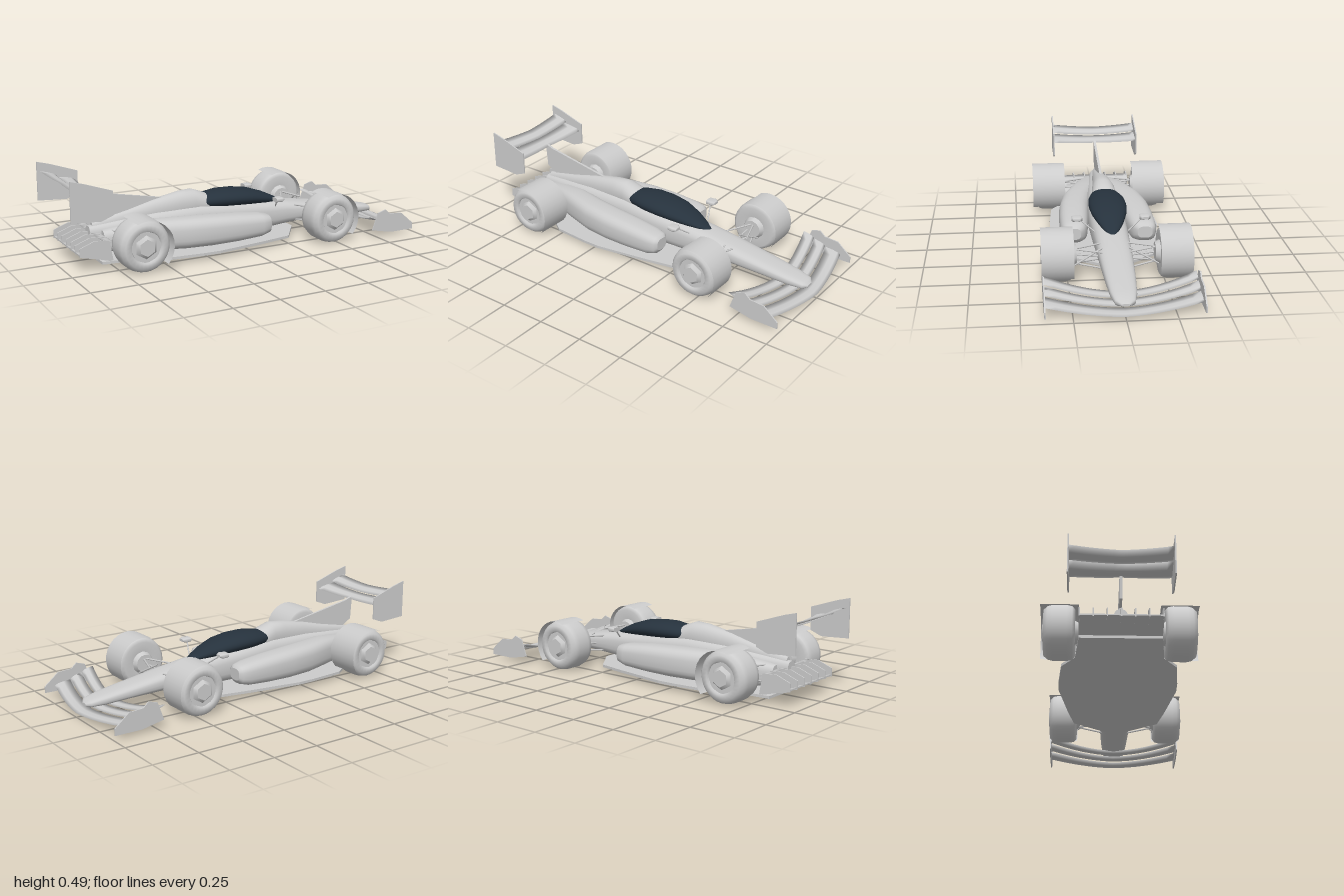
import * as THREE from 'three';

const grey = new THREE.MeshStandardMaterial({ color: 0xcccccc, side: THREE.DoubleSide });
grey.name = 'paleGrey';
const dark = new THREE.MeshStandardMaterial({ color: 0x26323d });
dark.name = 'darkGlass';

// Skin over a row of closed rings of points, with flat end caps
function skin(rings) {
  const n = rings[0].length, pos = [], idx = [];
  rings.forEach(r => r.forEach(p => pos.push(...p)));
  for (let i = 0; i < rings.length - 1; i++) {
    for (let j = 0; j < n; j++) {
      const a = i * n + j, b = i * n + (j + 1) % n;
      idx.push(a, b, a + n, b, b + n, a + n);
    }
  }
  [rings[0], rings[rings.length - 1]].forEach((r, e) => {
    const s = pos.length / 3;
    r.forEach(p => pos.push(...p));
    for (let j = 1; j < n - 1; j++) idx.push(s, s + (e ? j : j + 1), s + (e ? j + 1 : j));
  });
  // make the faces point outwards
  let vol = 0;
  const v = k => new THREE.Vector3().fromArray(pos, k * 3);
  for (let i = 0; i < idx.length; i += 3) vol += v(idx[i]).dot(v(idx[i + 1]).cross(v(idx[i + 2])));
  if (vol < 0) idx.reverse();
  const g = new THREE.BufferGeometry();
  g.setAttribute('position', new THREE.Float32BufferAttribute(pos, 3));
  g.setIndex(idx);
  g.computeVertexNormals();
  return g;
}

// Rounded hull along x; stations are [x, bottom, top, halfWidth, centreZ]
function hull(stations, power = 0.7, n = 28) {
  const round = c => Math.sign(c) * Math.abs(c) ** power;
  return skin(stations.map(([x, y0, y1, w, zc = 0]) => Array.from({ length: n }, (_, j) => {
    const a = j / n * Math.PI * 2;
    return [x, (y0 + y1) / 2 + round(Math.sin(a)) * (y1 - y0) / 2, zc + round(Math.cos(a)) * w];
  })));
}

// Thin wing element across z; edge(t) gives [leadX, leadY, trailX, trailY]
function wing(half, thick, edge) {
  const rings = [];
  for (let k = -8; k <= 8; k++) {
    const t = Math.abs(k) / 8, [x0, y0, x1, y1] = edge(t);
    const at = (u, h) => [x0 + (x1 - x0) * u, y0 + (y1 - y0) * u + h * thick, k / 8 * half];
    rings.push([at(0, 0), at(0.2, 0.5), at(0.55, 0.4), at(1, 0), at(0.55, -0.4), at(0.2, -0.5)]);
  }
  return skin(rings);
}

// Flat plate drawn in x and y, centred on z
function plate(points, z, thick) {
  const s = new THREE.Shape(points.map(p => new THREE.Vector2(...p)));
  return new THREE.ExtrudeGeometry(s, { depth: thick, bevelEnabled: false }).translate(0, 0, z - thick / 2);
}

function rod(a, b, r) {
  const line = new THREE.LineCurve3(new THREE.Vector3(...a), new THREE.Vector3(...b));
  return new THREE.TubeGeometry(line, 1, r, 6);
}

export function createModel() {
  const car = new THREE.Group();
  car.name = 'racingCar';
  const add = (name, geo, mat = grey, parent = car) => {
    const m = new THREE.Mesh(geo, mat);
    m.name = name;
    parent.add(m);
    return m;
  };

  // Chassis, nose, engine cover and canopy
  add('chassis', hull([
    [0.955, 0.055, 0.068, 0.02], [0.935, 0.048, 0.085, 0.05], [0.86, 0.048, 0.102, 0.066],
    [0.72, 0.055, 0.125, 0.077], [0.5, 0.06, 0.16, 0.088], [0.34, 0.05, 0.185, 0.092],
    [0.2, 0.038, 0.2, 0.097], [0, 0.035, 0.22, 0.102], [-0.2, 0.035, 0.235, 0.098],
    [-0.45, 0.035, 0.22, 0.08], [-0.65, 0.04, 0.2, 0.06], [-0.82, 0.07, 0.18, 0.035]]));
  add('engineCover', hull([
    [-0.06, 0.17, 0.24, 0.06], [-0.15, 0.16, 0.285, 0.07], [-0.22, 0.16, 0.31, 0.066],
    [-0.3, 0.15, 0.305, 0.058], [-0.45, 0.14, 0.278, 0.045], [-0.6, 0.13, 0.24, 0.035],
    [-0.8, 0.1, 0.2, 0.02]], 0.9));
  add('canopy', hull([
    [-0.225, 0.222, 0.24, 0.012], [-0.2, 0.21, 0.262, 0.045], [-0.14, 0.2, 0.28, 0.08],
    [-0.05, 0.193, 0.291, 0.1], [0.04, 0.19, 0.288, 0.104], [0.13, 0.186, 0.275, 0.095],
    [0.22, 0.18, 0.245, 0.07], [0.29, 0.177, 0.212, 0.042], [0.34, 0.177, 0.185, 0.01]], 0.95), dark);
  add('spineFin', plate([[-0.4, 0.285], [-0.78, 0.355], [-0.83, 0.375], [-0.82, 0.24],
    [-0.7, 0.17], [-0.42, 0.2]], 0, 0.014));

  // Floor
  const side = [[0.38, 0.07], [0.26, 0.235], [0.1, 0.265], [-0.2, 0.31], [-0.3, 0.308], [-0.5, 0.29],
    [-0.6, 0.22], [-0.82, 0.2]];
  const outline = side.concat(side.map(([x, z]) => [x, -z]).reverse());
  add('floor', plate(outline, 0, 0.014).rotateX(Math.PI / 2).translate(0, 0.033, 0));

  // Front wing: three swept elements
  const fx = [0, 0.095, 0.165, 0.235], fy = [0.022, 0.032, 0.046, 0.058], lift = [0.03, 0.042, 0.055, 0.066];
  for (let i = 0; i < 3; i++) {
    add('frontWingElement', wing(0.382, 0.011, t => {
      const lead = 1 - 0.068 * t ** 1.4;
      return [lead - fx[i], fy[i] + lift[i] * t * t, lead - fx[i + 1] + 0.005, fy[i + 1] + lift[i + 1] * t * t - 0.004];
    }));
  }

  // Rear wing: main plane and steeper flap
  add('rearWingMain', wing(0.255, 0.014, t => [-0.81 + 0.02 * t, 0.362 + 0.012 * t * t, -0.9 - 0.01 * t, 0.385 + 0.014 * t * t]));
  add('rearWingFlap', wing(0.255, 0.011, t => [-0.885 - 0.01 * t, 0.394 + 0.014 * t * t, -0.962 - 0.022 * t, 0.425 + 0.014 * t * t]));

  // Diffuser ramp, beams and upright strakes
  const ramp = [[-0.76, 0.035], [-0.94, 0.085], [-0.94, 0.092], [-0.76, 0.045]];
  add('diffuserRamp', plate(ramp, 0, 0.4));
  add('lowerBeam', wing(0.2, 0.01, t => [-0.77, 0.1, -0.87, 0.125]));
  add('upperBeam', wing(0.2, 0.01, t => [-0.75, 0.13, -0.82, 0.152]));
  for (let k = -3; k <= 3; k++) {
    add('diffuserStrake', plate([[-0.76, 0.04], [-0.94, 0.08], [-0.94, 0.125], [-0.86, 0.155],
      [-0.78, 0.15]], k * 0.066, 0.006));
  }

  for (const s of [1, -1]) {
    const label = s > 0 ? 'left' : 'right';
    // Side pod
    add(label + 'SidePod', hull([
      [0.155, 0.09, 0.155, 0.195 * s, 0], [0.14, 0.07, 0.17, 0.06], [0.09, 0.055, 0.18, 0.074],
      [-0.05, 0.045, 0.193, 0.082], [-0.2, 0.04, 0.2, 0.085], [-0.35, 0.038, 0.202, 0.085],
      [-0.5, 0.038, 0.198, 0.08], [-0.62, 0.04, 0.185, 0.065], [-0.76, 0.05, 0.16, 0.04]
    ].map((a, i) => [a[0], a[1], a[2], i ? a[3] : 0.04,
      s * [0.195, 0.194, 0.19, 0.182, 0.172, 0.15, 0.105, 0.075, 0.045][i]])));

    // Wing end plates
    add(label + 'FrontEndPlate', plate([[0.715, 0.045], [0.75, 0.14], [0.8, 0.155], [0.83, 0.128],
      [0.91, 0.122], [0.99, 0.055], [0.99, 0.02], [0.84, 0.02]], s * 0.384, 0.007));
    add(label + 'RearEndPlate', plate([[-1, 0.49], [-0.93, 0.472], [-0.775, 0.42], [-0.775, 0.295],
      [-0.84, 0.27], [-1, 0.28]], s * 0.255, 0.007));

    // Mirror and stalk
    add(label + 'Mirror', hull([[0.2, 0.226, 0.25, 0.026, s * 0.182], [0.235, 0.224, 0.252, 0.03, s * 0.182],
      [0.252, 0.231, 0.245, 0.018, s * 0.182]], 0.6));
    add(label + 'MirrorStalk', rod([0.26, 0.175, s * 0.09], [0.225, 0.232, s * 0.165], 0.004));

    // Wheels with part covers, hubs and suspension
    for (const front of [true, false]) {
      const cx = front ? 0.475 : -0.648, cz = s * (front ? 0.303 : 0.3);
      const wheel = new THREE.Group();
      wheel.name = label + (front ? 'Front' : 'Rear') + 'Wheel';
      wheel.position.set(cx, 0.138, cz);
      car.add(wheel);
      const profile = [[0.06, -0.075], [0.115, -0.08], [0.132, -0.066], [0.138, -0.04], [0.138, 0.03],
        [0.132, 0.055], [0.115, 0.075], [0.085, 0.078], [0.078, 0.06]].map(p => new THREE.Vector2(...p));
      const turn = g => g.rotateX(s * Math.PI / 2);
      add('tyre', turn(new THREE.LatheGeometry(profile, 28)), grey, wheel);
      add('rim', turn(new THREE.CylinderGeometry(0.084, 0.084, 0.13, 8)), grey, wheel);
      add('hubCap', turn(new THREE.CylinderGeometry(0.045, 0.064, 0.02, 6).translate(0, 0.073, 0)), grey, wheel);
      add('brakeDuct', turn(new THREE.CylinderGeometry(0.065, 0.05, 0.03, 12).translate(0, -0.085, 0)), grey, wheel);
      const width = front ? 0.166 : 0.192;
      add('wheelCover', new THREE.CylinderGeometry(0.142, 0.142, width, 12, 1, true, 0.85, 2.7)
        .rotateX(Math.PI / 2), grey, wheel);
      const inner = front ? 0.07 : 0.05, hubZ = 0.22;
      [[-0.08, 0.16, 0, 0.165], [0.05, 0.16, 0, 0.165], [-0.08, 0.075, 0, 0.09],
        [0.05, 0.075, 0, 0.09], [0.0, 0.165, 0.03, 0.085], [-0.03, 0.11, -0.03, 0.125]]
        .forEach(([x0, y0, x1, y1]) => add(label + 'SuspensionArm',
          rod([cx + x0, y0, s * inner], [cx + x1, y1, s * hubZ], 0.005)));
    }
  }
  return car;
}
